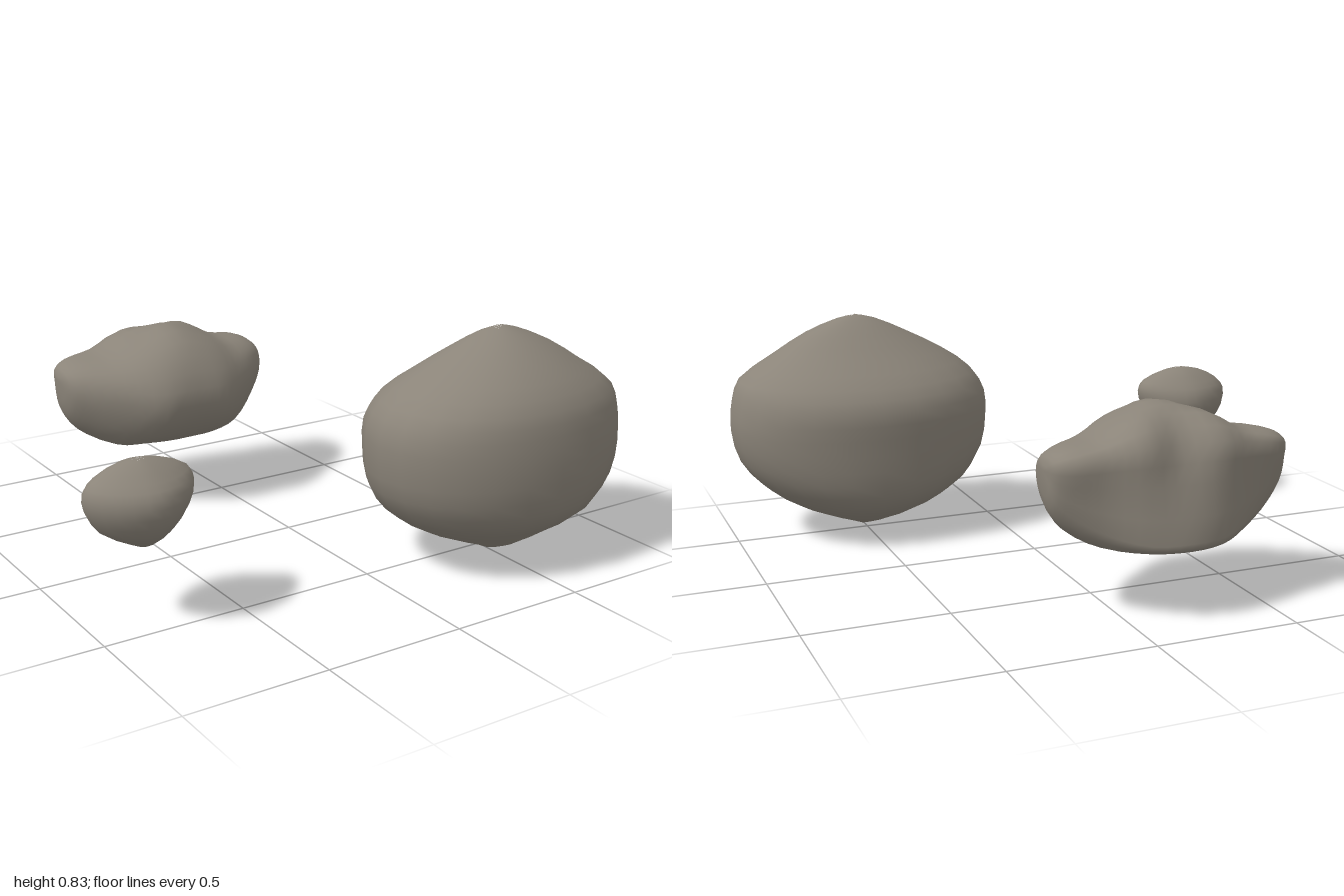
import * as THREE from 'three';
import { mergeVertices } from 'three/addons/utils/BufferGeometryUtils.js';

const V = (x, y, z) => new THREE.Vector3(x, y, z);

// Smooth closed skin through a stack of rings; the first and last rings are points.
function loft(rings, steps) {
  const n = rings[0].length, rows = (rings.length - 1) * steps;
  const pos = [], idx = [];
  const curves = rings[0].map((_, j) => new THREE.CatmullRomCurve3(rings.map(r => r[j])));
  for (let i = 0; i <= rows; i++)
    for (let j = 0; j < n; j++) pos.push(...curves[j].getPoint(i / rows).toArray());
  for (let i = 0; i < rows; i++)
    for (let j = 0; j < n; j++) {
      const k = (j + 1) % n;
      const a = i * n + j, b = a + n, c = (i + 1) * n + k, d = i * n + k;
      if (i < rows - 1) idx.push(a, b, c);
      if (i > 0) idx.push(a, c, d);
    }
  let g = new THREE.BufferGeometry();
  g.setAttribute('position', new THREE.Float32BufferAttribute(pos, 3));
  g.setIndex(idx);
  g = mergeVertices(g, 1e-5);
  g.computeVertexNormals();
  return g;
}

// Horizontal ring with separate reach to each side: [y, xMin, xMax, zMin, zMax]
function levelRing([y, x0, x1, z0, z1], cx, cz, power, n = 24) {
  const bend = c => Math.sign(c) * Math.abs(c) ** (2 / power);
  return Array.from({ length: n }, (_, j) => {
    const a = j / n * Math.PI * 2;
    const u = bend(Math.cos(a)), v = bend(Math.sin(a));
    return V(cx + u * (u > 0 ? x1 - cx : cx - x0), y, cz + v * (v > 0 ? z1 - cz : cz - z0));
  });
}

function levelRock(levels, cx, cz, power, steps) {
  return loft(levels.map(l => levelRing(l, cx, cz, power)), steps);
}

// Long rock: upright (z, y) outlines at growing distance from its middle, mirrored
function longRock() {
  const cx = -0.18;
  const outlines = [
    [0, [-.345, .42, -.38, .54, -.47, .64, -.6, .68, -.71, .655, -.79, .57,
      -.84, .45, -.885, .27, -.87, .24, -.7, .245, -.53, .23, -.41, .3]],
    [.13, [-.35, .42, -.39, .53, -.48, .61, -.6, .64, -.73, .65, -.83, .58,
      -.84, .45, -.86, .27, -.84, .24, -.7, .24, -.54, .235, -.41, .3]],
    [.25, [-.43, .44, -.46, .52, -.54, .57, -.62, .585, -.72, .59, -.8, .56,
      -.8, .45, -.8, .3, -.76, .25, -.68, .24, -.55, .25, -.47, .32]],
    [.36, [-.52, .46, -.54, .52, -.59, .555, -.66, .57, -.73, .57, -.78, .54,
      -.77, .46, -.75, .36, -.71, .31, -.66, .3, -.59, .33, -.54, .39]],
  ];
  const half = outlines.map(([dx, p]) => {
    const pts = [];
    for (let k = 0; k < p.length; k += 2) pts.push(V(dx, p[k + 1], p[k]));
    const curve = new THREE.CatmullRomCurve3(pts, true);
    return Array.from({ length: 24 }, (_, j) => curve.getPoint(j / 24));
  });
  // rounded ends
  const tip = V(.43, .505, -.68);
  half.push(half[3].map(p => { const q = p.clone().lerp(tip, .4); q.x = .415; return q; }));
  half.push(half[3].map(() => tip.clone()));
  const side = s => half.map(r => r.map(p => V(cx + s * p.x, p.y, p.z)));
  return loft([...side(-1).reverse(), ...side(1).slice(1)], 3);
}

export function createModel() {
  const group = new THREE.Group();
  const stone = new THREE.MeshStandardMaterial({ color: 0x8b8479 });
  stone.name = 'greyStone';
  const add = (name, geometry) => {
    const mesh = new THREE.Mesh(geometry, stone);
    mesh.name = name;
    group.add(mesh);
  };

  add('largeRock', levelRock([
    [0, .5, .5, .55, .55],
    [.05, .4, .6, .4, .66],
    [.12, .23, .77, .26, .76],
    [.2, .1, .89, .2, .86],
    [.3, .03, .97, .185, .895],
    [.42, .01, 1, .18, .9],
    [.52, .015, .99, .18, .89],
    [.6, .06, .96, .23, .87],
    [.68, .17, .84, .33, .81],
    [.76, .32, .71, .43, .71],
    [.81, .43, .59, .5, .62],
    [.83, .51, .51, .55, .55],
  ], .51, .54, 2.08, 2));

  add('longRock', longRock());

  add('smallRock', levelRock([
    [.253, -.81, -.81, .4, .4],
    [.28, -.865, -.76, .35, .46],
    [.33, -.95, -.7, .29, .52],
    [.4, -.995, -.645, .255, .555],
    [.46, -1, -.625, .265, .55],
    [.5, -.97, -.64, .3, .51],
    [.54, -.89, -.73, .35, .45],
    [.555, -.81, -.81, .4, .4],
  ], -.81, .395, 1.75, 2));

  return group;
}
